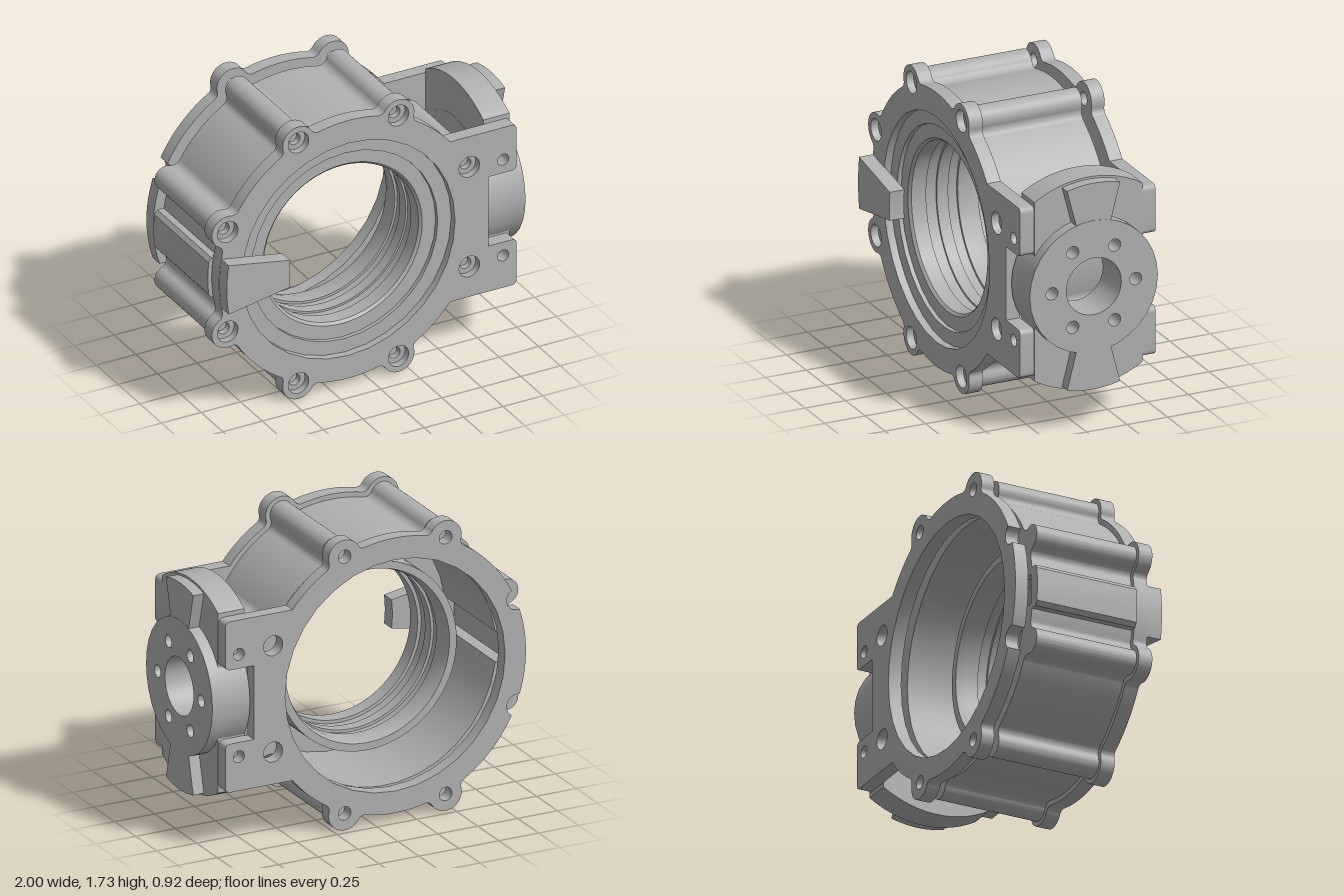
import * as THREE from 'three';
import { toCreasedNormals } from 'three/addons/utils/BufferGeometryUtils.js';

const CX = -0.135, CY = 0.866;         // ring axis
const BOLT = 0.828;                    // bolt circle radius
const rad = (d) => d * Math.PI / 180;
const polar = (r, a) => new THREE.Vector2(r * Math.cos(a), r * Math.sin(a));
const dir = (a, b) => Math.atan2(b.y - a.y, b.x - a.x);

// Outline piece: rim arc up to a boss, then a filleted round boss; returns the end angle
function addBoss(s, R, b, f, t, from) {
  const d = R + f, al = Math.acos((d * d + BOLT * BOLT - (b + f) ** 2) / (2 * d * BOLT));
  const B = polar(BOLT, t), F = polar(d, t - al), G = polar(d, t + al);
  s.absarc(0, 0, R, from, t - al, false);
  s.absarc(F.x, F.y, f, t - al + Math.PI, dir(F, B), true);
  s.absarc(B.x, B.y, b, dir(B, F), dir(B, G), false);
  s.absarc(G.x, G.y, f, dir(G, B), t + al + Math.PI, true);
  return t + al;
}

// Outline piece: rim arc up to a concave screw notch
function addNotch(s, R, b, t, from) {
  const al = Math.acos((R * R + BOLT * BOLT - b * b) / (2 * R * BOLT));
  const B = polar(BOLT, t);
  s.absarc(0, 0, R, from, t - al, false);
  s.absarc(B.x, B.y, b, dir(B, polar(R, t - al)), dir(B, polar(R, t + al)), true);
  return t + al;
}

function addHole(s, x, y, r) {
  const p = new THREE.Path();
  p.absarc(x, y, r, 0, Math.PI * 2, true);
  s.holes.push(p);
}

// Ring plate with bosses and two rounded mounting tabs on its left
function plateShape(bore, screw, tabScrew, notched) {
  const s = new THREE.Shape(), R = 0.82, a0 = Math.asin(0.509 / R);
  s.moveTo(0.885, -0.22);
  s.lineTo(0.885, 0.22);
  s.lineTo(1.03, 0.22);
  s.quadraticCurveTo(1.065, 0.22, 1.065, 0.255);
  s.lineTo(1.065, 0.474);
  s.quadraticCurveTo(1.065, 0.509, 1.03, 0.509);
  s.lineTo(R * Math.cos(a0), 0.509);
  let a = a0;
  for (let i = 1; i <= 6; i++) {
    const t = rad(22.5 + 45 * i);
    if (notched && (i === 3 || i === 4)) {
      a = addNotch(s, R, 0.065, t, a);
    } else {
      a = addBoss(s, R, 0.1, 0.04, t, a);
      addHole(s, BOLT * Math.cos(t), BOLT * Math.sin(t), screw);
    }
  }
  s.absarc(0, 0, R, a, Math.PI * 2 - a0, false);
  s.lineTo(1.03, -0.509);
  s.quadraticCurveTo(1.065, -0.509, 1.065, -0.474);
  s.lineTo(1.065, -0.255);
  s.quadraticCurveTo(1.065, -0.22, 1.03, -0.22);
  s.closePath();
  for (const m of [-1, 1]) {
    addHole(s, 0.765, m * 0.317, tabScrew);
    addHole(s, 0.98, m * 0.305, 0.035);
  }
  addHole(s, 0, 0, bore);
  return s;
}

export function createModel() {
  const group = new THREE.Group();
  const metal = new THREE.MeshStandardMaterial({ color: 0xb0b0b0 });
  metal.name = 'castGrey';

  const add = (name, geo, x, y, z) => {
    const m = new THREE.Mesh(toCreasedNormals(geo, rad(30)), metal);
    m.name = name;
    m.position.set(x, y, z);
    group.add(m);
  };
  const extrude = (shape, depth) =>
    new THREE.ExtrudeGeometry(shape, { depth, bevelEnabled: false, curveSegments: 16 });
  const alongZ = (name, shape, z0, z1) => add(name, extrude(shape, z1 - z0), CX, CY, z0);
  const alongX = (name, shape, x0, x1) =>
    add(name, extrude(shape, x1 - x0).rotateY(Math.PI / 2), x0, CY, -0.045);

  // Front plate in two layers, so the screw heads and the seal seat are recessed
  alongZ('frontPlate', plateShape(0.675, 0.065, 0.065, false), 0.33, 0.375);
  alongZ('frontPlateSeat', plateShape(0.59, 0.035, 0.035, false), 0.29, 0.33);

  // Back plate with notches in place of the right-hand bosses
  alongZ('backPlate', plateShape(0.69, 0.04, 0.06, true), -0.46, -0.38);

  // Housing wall with eight filleted ribs and a keyway inside its right-hand side
  const wall = new THREE.Shape();
  let a = 0;
  for (let i = 0; i < 8; i++) a = addBoss(wall, 0.79, 0.073, 0.05, rad(22.5 + 45 * i), a);
  wall.absarc(0, 0, 0.79, a, Math.PI * 2, false);
  const cavity = new THREE.Path(), w = Math.asin(0.09 / 0.7);
  cavity.absarc(0, 0, 0.7, Math.PI + w, Math.PI * 3 - w, false);
  cavity.lineTo(-0.765, 0.09);
  cavity.lineTo(-0.765, -0.09);
  cavity.closePath();
  wall.holes.push(cavity);
  alongZ('housingWall', wall, -0.335, 0.29);

  // Raised pad on the housing side, with softened corners
  const pad = new THREE.Shape();
  [[-0.77, -0.125], [-0.82, -0.125], [-0.84, -0.1], [-0.845, 0], [-0.84, 0.1], [-0.82, 0.125], [-0.77, 0.125]]
    .forEach((p, i) => (i ? pad.lineTo(...p) : pad.moveTo(...p)));
  alongZ('sidePad', pad, -0.335, 0.29);

  // Stepped inner collar: outside going forward, then the grooved bore going back
  const profile = [[0.515, -0.13], [0.56, -0.13], [0.56, 0.27], [0.6, 0.27], [0.6, 0.305],
    [0.505, 0.305], [0.49, 0.29], [0.49, 0.2], [0.51, 0.2], [0.51, 0.13], [0.498, 0.13],
    [0.498, 0.06], [0.515, 0.06], [0.515, 0], [0.5, 0], [0.5, -0.08], [0.515, -0.13]];
  add('innerCollar', new THREE.LatheGeometry(profile.map((p) => new THREE.Vector2(...p)), 80)
    .rotateX(Math.PI / 2), CX, CY, 0);

  // Cavity floor between the collar and the wall
  const floor = new THREE.Shape();
  floor.absarc(0, 0, 0.72, 0, Math.PI * 2, false);
  addHole(floor, 0, 0, 0.555);
  alongZ('cavityFloor', floor, 0.27, 0.295);

  // Tapered clip on the front face
  const clip = new THREE.Shape();
  clip.moveTo(-0.805, -0.155);
  clip.lineTo(-0.415, -0.085);
  clip.quadraticCurveTo(-0.425, 0, -0.415, 0.085);
  clip.lineTo(-0.805, 0.155);
  clip.quadraticCurveTo(-0.83, 0, -0.805, -0.155);
  alongZ('frontClip', clip, 0.37, 0.46);

  // Side coupling: round flange, trimmed disc behind it and two dovetail keys
  const drill = (s) => {
    addHole(s, 0, 0, 0.17);
    for (let i = 0; i < 6; i++) {
      const p = polar(0.258, rad(60 * i));
      addHole(s, p.x, p.y, 0.037);
    }
    return s;
  };
  const flange = new THREE.Shape();
  flange.absarc(0, 0, 0.395, 0, Math.PI * 2, false);
  alongX('couplingFlange', drill(flange), 0.765, 1.0);

  const c = Math.acos(0.333 / 0.63);
  const disc = new THREE.Shape();
  disc.absarc(0, 0, 0.63, c, Math.PI - c, false);
  disc.absarc(0, 0, 0.63, Math.PI + c, Math.PI * 2 - c, false);
  disc.closePath();
  alongX('couplingDisc', drill(disc), 0.767, 0.932);

  const k = Math.acos(0.163 / 0.617);
  for (const m of [0, Math.PI]) {
    const key = new THREE.Shape();
    const q = m ? -1 : 1;
    key.moveTo(-0.105 * q, 0.37 * q);
    key.lineTo(0.105 * q, 0.37 * q);
    key.absarc(0, 0, 0.617, k + m, Math.PI - k + m, false);
    key.closePath();
    alongX(m ? 'lowerKey' : 'upperKey', key, 0.92, 0.998);
  }
  return group;
}
